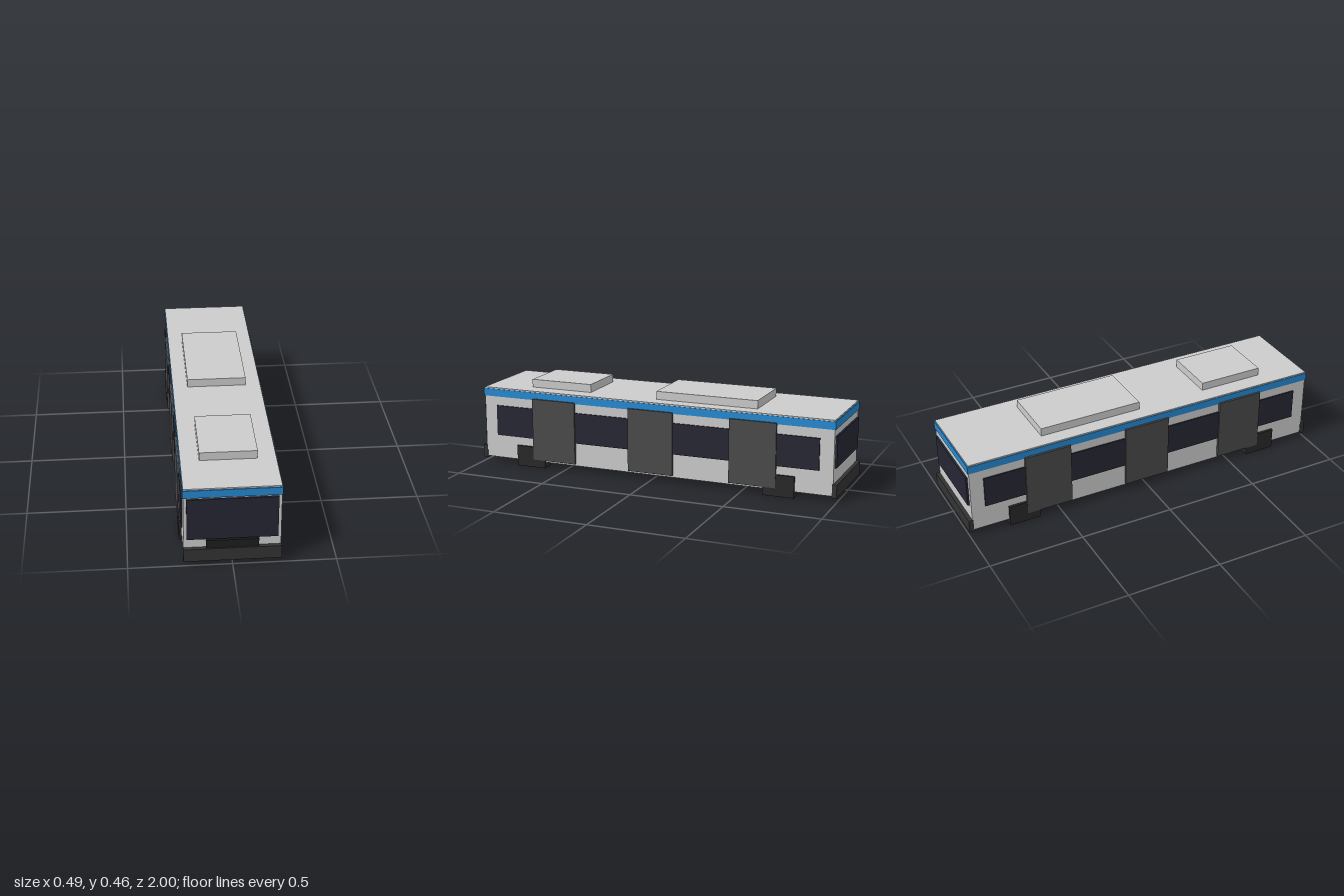
import * as THREE from 'three';

export function createModel() {
  const bus = new THREE.Group();
  bus.name = 'bus';
  const mat = (color) => new THREE.MeshStandardMaterial({ color });
  const grey = mat(0xcccccc), blue = mat(0x2588d0), glass = mat(0x262633);
  const door = mat(0x4a4a4a), bumper = mat(0x333333), tyre = mat(0x282828), black = mat(0x1e1e1e);

  // Box given by its extents on each axis
  const box = (name, material, [x0, x1], [y0, y1], [z0, z1]) => {
    const mesh = new THREE.Mesh(new THREE.BoxGeometry(x1 - x0, y1 - y0, z1 - z0), material);
    mesh.position.set((x0 + x1) / 2, (y0 + y1) / 2, (z0 + z1) / 2);
    mesh.name = name;
    bus.add(mesh);
  };
  // Same box on the left (+x) and right (-x) sides
  const pair = (name, material, [x0, x1], y, z) => {
    box(name + 'Left', material, [x0, x1], y, z);
    box(name + 'Right', material, [-x1, -x0], y, z);
  };

  // Body shell and coloured band below the roof
  box('body', grey, [-0.232, 0.232], [0.031, 0.42], [-0.98, 0.98]);
  box('roofBand', blue, [-0.235, 0.235], [0.372, 0.413], [-0.985, 0.985]);

  // Roof units
  box('frontRoofUnit', grey, [-0.141, 0.141], [0.415, 0.463], [0.385, 0.735]);
  box('rearRoofUnit', grey, [-0.154, 0.154], [0.415, 0.463], [-0.556, 0]);

  // Front and rear ends
  box('windshield', glass, [-0.217, 0.217], [0.142, 0.365], [0.97, 0.99]);
  box('frontGrille', black, [-0.126, 0.126], [0.09, 0.135], [0.97, 0.993]);
  box('rearWindow', glass, [-0.21, 0.21], [0.17, 0.335], [-0.99, -0.97]);
  box('frontBumper', bumper, [-0.235, 0.235], [0.023, 0.092], [0.975, 1]);
  box('rearBumper', bumper, [-0.235, 0.235], [0.023, 0.092], [-1, -0.975]);

  // Side windows, doors and wheels
  pair('sideWindow', glass, [0.225, 0.239], [0.157, 0.323], [-0.907, 0.907]);
  for (const z of [-0.56, 0, 0.56]) {
    pair('door', door, [0.225, 0.246], [0.042, 0.379], [z - 0.125, z + 0.125]);
  }
  for (const z of [-0.7, 0.7]) {
    pair('wheel', tyre, [0.175, 0.245], [0, 0.112], [z - 0.083, z + 0.083]);
  }
  return bus;
}
